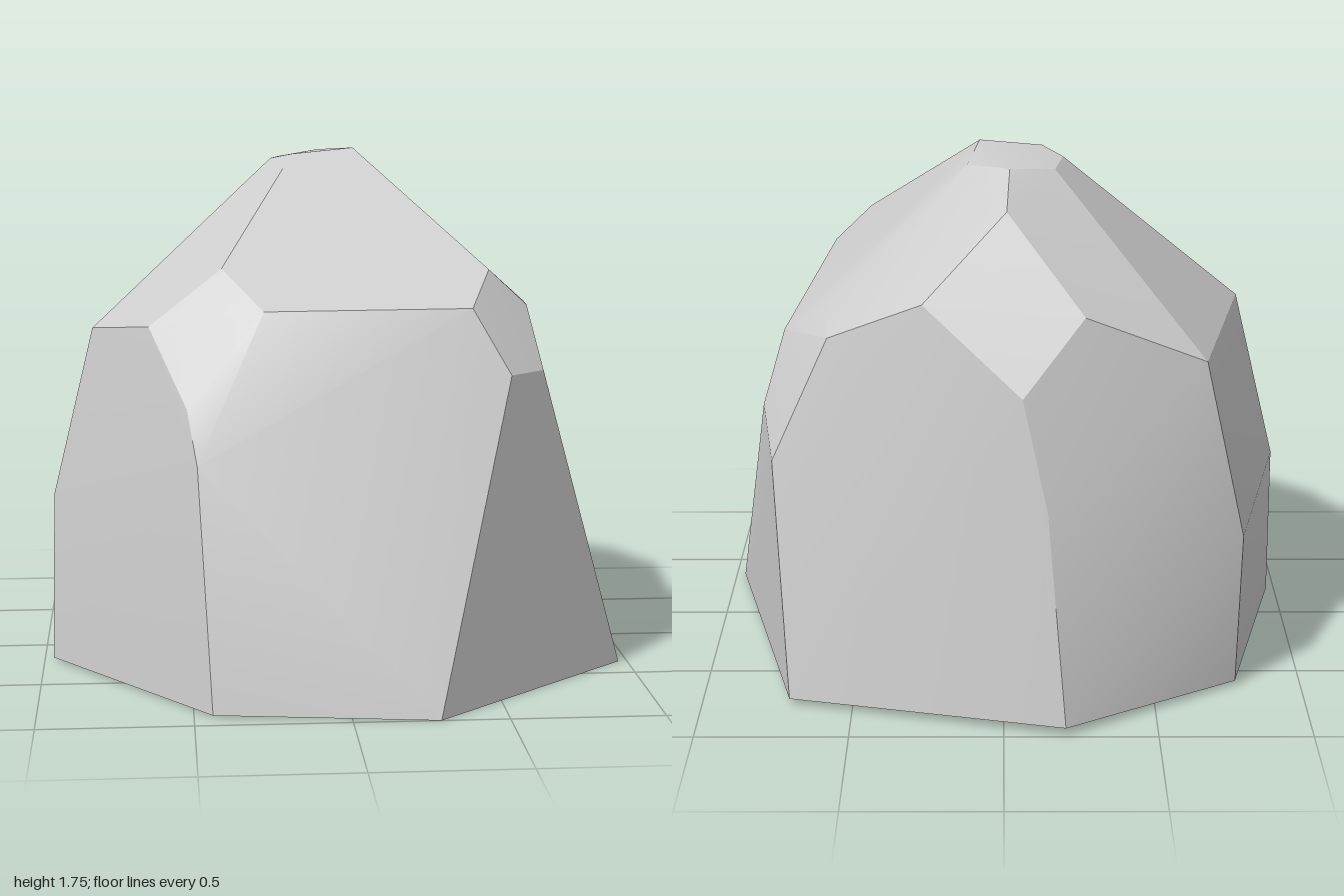
import * as THREE from 'three';
import { toCreasedNormals } from 'three/addons/utils/BufferGeometryUtils.js';
import { ConvexGeometry } from 'three/addons/geometries/ConvexGeometry.js';

// Corner rings of the boulder, from the ground to the summit: [x, y, z]
const base = [
  [-0.2, 0.03, -1], [0.71, 0.02, -0.76], [0.97, 0, 0.36], [0.28, 0, 1],
  [-0.44, 0.005, 0.91], [-0.97, 0.01, 0.2], [-0.78, 0.015, -0.61],
];
const flanks = [
  [-0.14, 0.73, -0.9], [-0.06, 1.09, -0.84], [0.76, 0.8, -0.6], [0.8, 0.93, -0.4],
  [0.65, 1.06, 0.63], [0.53, 1.06, 0.74], [-0.48, 0.78, 0.76], [-0.51, 0.95, 0.67],
  [-0.96, 0.57, 0.13], [-0.79, 0.55, -0.64],
];
const shoulders = [
  [0.26, 1.36, -0.7], [0.57, 1.22, -0.6], [0.59, 1.27, -0.46], [0.73, 1.17, -0.33],
  [0.61, 1.26, 0.51], [0.48, 1.38, 0.54], [0.41, 1.27, 0.68], [-0.26, 1.26, 0.64],
  [-0.39, 1.38, 0.46], [-0.63, 1.19, 0.45], [-0.82, 1.15, 0.16], [-0.66, 1.14, -0.6],
  [-0.26, 1.32, -0.71], [-0.01, 1.62, -0.53],
];
const summit = [
  [-0.02, 1.72, -0.35], [0.12, 1.71, -0.24], [0.08, 1.745, -0.02],
  [-0.13, 1.725, -0.01], [-0.2, 1.705, -0.1], [-0.17, 1.7, -0.27],
];

export function createModel() {
  const group = new THREE.Group();
  group.name = 'rock';

  const stone = new THREE.MeshStandardMaterial({ color: 0xcccccc });
  stone.name = 'light grey stone';

  // Chiselled body: gentle bends are smooth, strong edges stay sharp
  const points = [...base, ...flanks, ...shoulders, ...summit]
    .map((p) => new THREE.Vector3(...p));
  const body = new THREE.Mesh(toCreasedNormals(new ConvexGeometry(points), 0.4), stone);
  body.name = 'boulder';
  group.add(body);
  return group;
}
